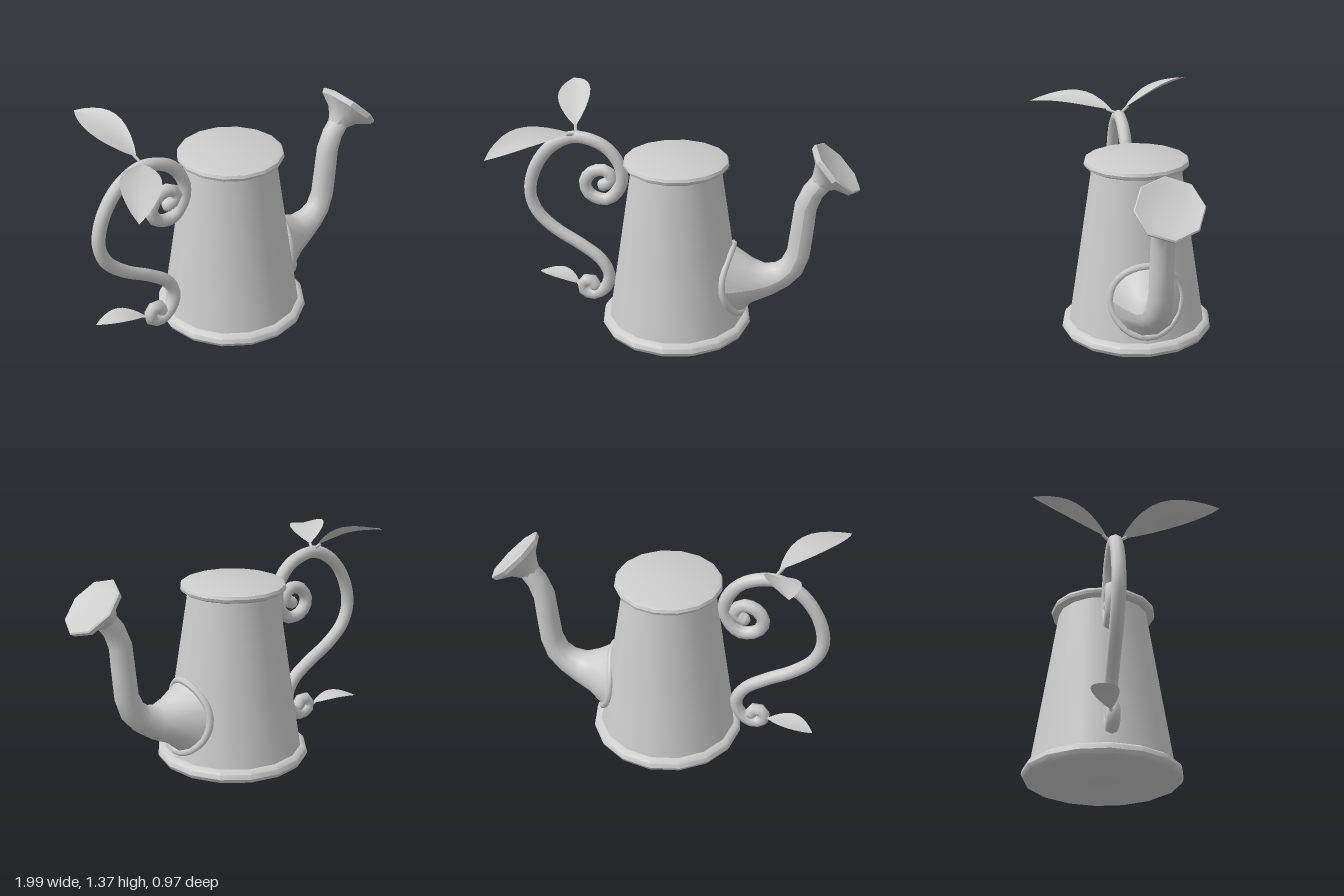
import * as THREE from 'three';
import { toCreasedNormals } from 'three/addons/utils/BufferGeometryUtils.js';

const CX = -0.055, CZ = -0.036; // axis of the can
const material = new THREE.MeshStandardMaterial({ color: 0xcccccc });
const thin = new THREE.MeshStandardMaterial({ color: 0xcccccc, side: THREE.DoubleSide });
const V3 = (x, y, z) => new THREE.Vector3(x, y, z);

function add(group, name, geometry, mat = material) {
  const mesh = new THREE.Mesh(geometry, mat);
  mesh.name = name;
  group.add(mesh);
  return mesh;
}

// turned part with sharp edges kept
function turned(profile, sides) {
  const points = profile.map(([r, y]) => new THREE.Vector2(r, y));
  return toCreasedNormals(new THREE.LatheGeometry(points, sides), 0.7);
}

// smooth surface from a function of (row, column)
function gridSurface(rows, cols, pointAt) {
  const positions = [], index = [];
  for (let i = 0; i <= rows; i++)
    for (let j = 0; j <= cols; j++) positions.push(...pointAt(i, j).toArray());
  for (let i = 0; i < rows; i++)
    for (let j = 0; j < cols; j++) {
      const a = i * (cols + 1) + j, b = a + cols + 1;
      index.push(a, b, a + 1, b, b + 1, a + 1);
    }
  const g = new THREE.BufferGeometry();
  g.setAttribute('position', new THREE.Float32BufferAttribute(positions, 3));
  g.setIndex(index);
  g.computeVertexNormals();
  return g;
}

// point on the tapered wall, on a circle of radius r seen from the spout side
function onWall(t, r) {
  const y = 0.325 + r * Math.sin(t), dz = r * Math.cos(t);
  const R = 0.41 - (y - 0.07) * 0.158;
  return V3(CX + Math.sqrt(R * R - dz * dz), y, CZ + dz);
}

// spout: joint on the wall, then round sections [x, y, radius]
function spoutGeometry() {
  const sections = [
    [0.31, 0.325, 0.2], [0.4, 0.322, 0.135], [0.49, 0.337, 0.1], [0.57, 0.376, 0.082],
    [0.63, 0.435, 0.074], [0.665, 0.53, 0.069], [0.68, 0.69, 0.067], [0.692, 0.83, 0.065],
    [0.728, 0.925, 0.062], [0.785, 1.0, 0.06],
  ];
  const sides = 14;
  return gridSurface(sections.length - 1, sides, (i, j) => {
    const t = ((j % sides) / sides) * Math.PI * 2;
    if (i === 0) return onWall(t, 0.205);
    const [x, y, r] = sections[i];
    const prev = sections[i - 1], next = sections[Math.min(i + 1, sections.length - 1)];
    const dir = new THREE.Vector2(next[0] - prev[0], next[1] - prev[1]).normalize();
    const s = r * Math.sin(t);
    return V3(x - dir.y * s, y + dir.x * s, CZ + r * Math.cos(t));
  });
}

// leaf: arched along its length, each edge lifted by its own amount
function leafGeometry(base, tip, half, arch, liftA, liftB) {
  const side = V3(base.z - tip.z, 0, tip.x - base.x).normalize();
  return gridSurface(10, 4, (i, j) => {
    const u = i / 10, v = j / 2 - 1;
    const w = Math.pow(Math.sin(Math.PI * Math.min(u, 0.9999)), 0.85);
    const p = base.clone().lerp(tip, u).addScaledVector(side, v * half * w);
    p.y += arch * Math.sin(Math.PI * u) + (v < 0 ? liftA : liftB) * v * v * w;
    return p;
  });
}

export function createModel() {
  const model = new THREE.Group();
  model.name = 'wateringCan';

  // closed tapered body with a rolled foot and a rolled rim
  const body = new THREE.Group();
  body.name = 'body';
  body.position.set(CX, 0, CZ);
  model.add(body);
  add(body, 'wall', turned([[0.41, 0.06], [0.335, 0.54], [0.26, 1.03]], 16));
  add(body, 'foot', turned([[0, 0], [0.415, 0], [0.44, 0.012], [0.451, 0.035],
    [0.443, 0.062], [0.42, 0.078], [0.4, 0.08]], 16));
  add(body, 'rim', turned([[0.25, 1.02], [0.285, 1.02], [0.301, 1.03], [0.306, 1.046],
    [0.299, 1.062], [0.28, 1.07], [0, 1.07]], 16));

  // spout and the collar around its joint
  add(model, 'spout', spoutGeometry());
  const collar = Array.from({ length: 14 }, (_, k) => onWall((k / 14) * Math.PI * 2, 0.206));
  add(model, 'spoutCollar', new THREE.TubeGeometry(
    new THREE.CatmullRomCurve3(collar, true), 28, 0.021, 6, true));

  // eight-sided sprinkler head with a shallow dish
  const head = add(model, 'sprinklerHead', turned([[0.055, -0.02], [0.064, 0], [0.1, 0.05],
    [0.176, 0.098], [0.184, 0.125], [0.177, 0.132], [0.12, 0.118], [0, 0.112]], 8));
  head.position.set(0.768, 0.988, CZ);
  head.rotation.z = -0.76;

  // scrolled handle, from the upper curl to the lower curl
  const path = [
    [-0.49, 0.865], [-0.435, 0.9], [-0.468, 0.955], [-0.55, 0.945], [-0.6, 0.875], [-0.572, 0.8],
    [-0.47, 0.775], [-0.39, 0.86], [-0.38, 0.97], [-0.465, 1.1], [-0.64, 1.155], [-0.79, 1.09],
    [-0.9, 0.945], [-0.94, 0.78], [-0.9, 0.655], [-0.79, 0.55], [-0.64, 0.46], [-0.52, 0.37],
    [-0.472, 0.27], [-0.5, 0.175], [-0.58, 0.125], [-0.64, 0.155], [-0.63, 0.21], [-0.585, 0.22],
    [-0.565, 0.185],
  ].map(([x, y]) => V3(x, y, CZ));
  const handle = new THREE.Group();
  handle.name = 'handle';
  model.add(handle);
  add(handle, 'scroll', new THREE.TubeGeometry(new THREE.CatmullRomCurve3(path), 72, 0.038, 8));
  const ends = [path[0], path[path.length - 1]];
  ends.forEach((p, k) => {
    const cap = add(handle, k ? 'lowerCurlEnd' : 'upperCurlEnd', new THREE.SphereGeometry(0.037, 8, 6));
    cap.position.copy(p);
  });

  // leaves: root on the handle, base, tip, half width, arch, edge lifts
  const leaves = [
    ['frontLeaf', V3(-0.64, 1.17, CZ), V3(-0.66, 1.195, 0.01), V3(-1, 1.192, 0.485), 0.105, 0.045, 0.0, 0.03],
    ['backLeaf', V3(-0.64, 1.17, CZ), V3(-0.652, 1.205, -0.07), V3(-0.775, 1.355, -0.485), 0.096, 0.03, 0.0, 0.045],
    ['lowerLeaf', V3(-0.64, 0.165, CZ), V3(-0.665, 0.178, -0.05), V3(-0.945, 0.195, -0.135), 0.07, 0.03, 0.008, 0.008],
  ];
  for (const [name, root, base, tip, half, arch, liftA, liftB] of leaves) {
    const leaf = new THREE.Group();
    leaf.name = name;
    model.add(leaf);
    add(leaf, 'blade', leafGeometry(base, tip, half, arch, liftA, liftB), thin);
    const stem = new THREE.LineCurve3(root, base.clone().lerp(tip, 0.06));
    add(leaf, 'stem', new THREE.TubeGeometry(stem, 1, 0.009, 6));
  }
  return model;
}
